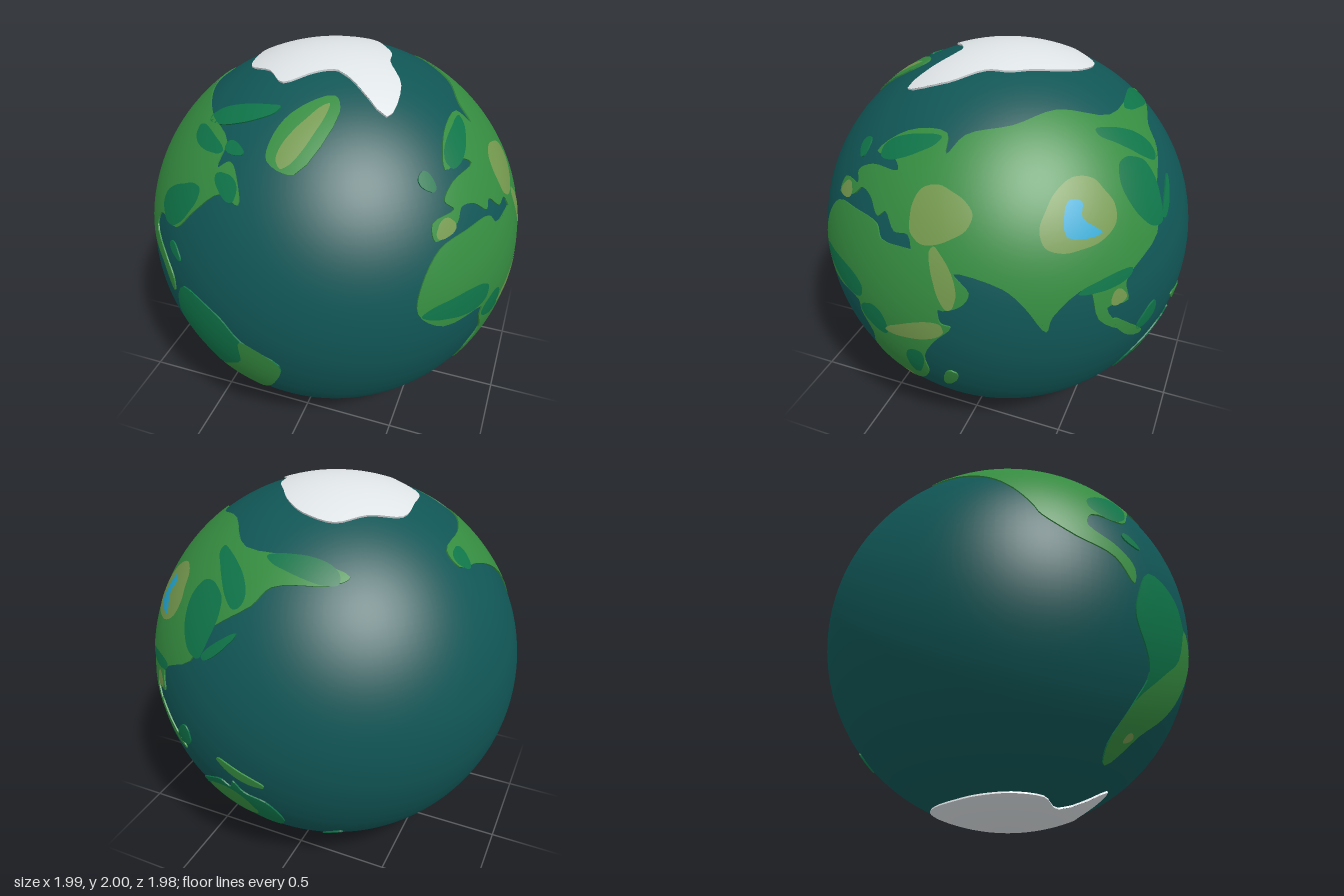
import * as THREE from 'three';

const mat = (name, color) => {
  const m = new THREE.MeshStandardMaterial({ color });
  m.name = name;
  return m;
};
const UNIT = 187; // outline units per globe radius
const OCEAN = 0.99, FLOOR = 0.985, LAND = 0.9968, LOW = 0.998, HIGH = 0.9989, TOP = 1;

// Turns flat outline pairs, drawn as seen from a compass direction, into points on the unit sphere
const facing = (azDeg, elDeg) => (list) => {
  const a = THREE.MathUtils.degToRad(azDeg), e = THREE.MathUtils.degToRad(elDeg);
  const right = new THREE.Vector3(Math.cos(a), 0, -Math.sin(a));
  const up = new THREE.Vector3(-Math.sin(e) * Math.sin(a), Math.cos(e), -Math.sin(e) * Math.cos(a));
  const out = new THREE.Vector3().crossVectors(right, up);
  const pts = [];
  for (let i = 0; i < list.length; i += 2) {
    const u = list[i] / UNIT, v = list[i + 1] / UNIT;
    const w = Math.sqrt(Math.max(0, 1 - u * u - v * v));
    pts.push(new THREE.Vector3().addScaledVector(right, u).addScaledVector(up, v).addScaledVector(out, w).normalize());
  }
  return pts;
};
const front = facing(0, 0), east = facing(90, 0), north = facing(0, 90), south = facing(0, -90);
const pacific = facing(215, 25), indies = facing(145, -30);

// Uneven oval: centre, half length, half width and tilt in degrees
const oval = (face, u, v, a, b, tilt) => {
  const t = THREE.MathUtils.degToRad(tilt), list = [];
  for (let i = 0; i < 12; i++) {
    const s = (i / 12) * Math.PI * 2, k = 1 + 0.1 * Math.sin(3 * s + u);
    const x = a * k * Math.cos(s), y = b * k * Math.sin(s);
    list.push(u + x * Math.cos(t) - y * Math.sin(t), v + x * Math.sin(t) + y * Math.cos(t));
  }
  return face(list);
};
// Outline around a pole from radii at even angles
const around = (face, radii) => face(radii.flatMap((r, i) => {
  const s = (i / radii.length) * Math.PI * 2;
  return [r * Math.cos(s), r * Math.sin(s)];
}));

// Curved patch over the sphere inside an outline, with side walls down to the floor radius if given
function patch(points, radius, floor) {
  const c = points.reduce((s, p) => s.add(p), new THREE.Vector3()).normalize();
  const e1 = new THREE.Vector3(1, 0, 0);
  if (Math.abs(c.x) > 0.9) e1.set(0, 1, 0);
  e1.addScaledVector(c, -c.dot(e1)).normalize();
  const e2 = new THREE.Vector3().crossVectors(c, e1);
  const flatten = (p) => {
    const t = Math.acos(THREE.MathUtils.clamp(p.dot(c), -1, 1));
    const k = t < 1e-6 ? 1 : t / Math.sin(t);
    return new THREE.Vector3(p.dot(e1) * k, p.dot(e2) * k, 0);
  };
  const wrap = (q) => {
    const t = Math.hypot(q.x, q.y), k = t < 1e-6 ? 1 : Math.sin(t) / t;
    return new THREE.Vector3().addScaledVector(c, Math.cos(t)).addScaledVector(e1, q.x * k).addScaledVector(e2, q.y * k);
  };
  const curve = new THREE.CatmullRomCurve3(points.map(flatten), true, 'centripetal');
  const ring = curve.getPoints(points.length * 4).slice(0, -1).map((p) => new THREE.Vector2(p.x, p.y));
  if (THREE.ShapeUtils.isClockWise(ring)) ring.reverse();

  const pos = [], nor = [];
  const add = (p, r, n) => {
    pos.push(p.x * r, p.y * r, p.z * r);
    nor.push(n.x, n.y, n.z);
  };
  // Split triangles until they follow the curve of the sphere
  const stack = THREE.ShapeUtils.triangulateShape(ring, []).map((f) => f.map((i) => ring[i]));
  while (stack.length) {
    const t = stack.pop();
    const len = t.map((p, i) => p.distanceTo(t[(i + 1) % 3]));
    const k = len.indexOf(Math.max(...len));
    if (len[k] < 0.055) {
      t.forEach((q) => { const p = wrap(q); add(p, radius, p); });
      continue;
    }
    const p = t[k], q = t[(k + 1) % 3], o = t[(k + 2) % 3];
    const m = new THREE.Vector2().addVectors(p, q).multiplyScalar(0.5);
    stack.push([p, m, o], [m, q, o]);
  }
  // Coast walls
  if (floor) ring.forEach((q, i) => {
    const a = wrap(q), b = wrap(ring[(i + 1) % ring.length]);
    const n = new THREE.Vector3().crossVectors(b.clone().sub(a), a).normalize();
    [[a, floor], [b, floor], [b, radius], [a, floor], [b, radius], [a, radius]].forEach(([p, r]) => add(p, r, n));
  });
  const g = new THREE.BufferGeometry();
  g.setAttribute('position', new THREE.Float32BufferAttribute(pos, 3));
  g.setAttribute('normal', new THREE.Float32BufferAttribute(nor, 3));
  return g;
}

export function createModel() {
  const sea = mat('deep teal', 0x115656), forest = mat('forest green', 0x0f7549), grass = mat('grass green', 0x358c40);
  const olive = mat('olive', 0x74994e), blue = mat('lake blue', 0x25a7d1), ice = mat('ice white', 0xdfe4e7);
  const globe = new THREE.Group();
  globe.name = 'globe';
  globe.position.y = 1;

  const ocean = new THREE.Mesh(new THREE.SphereGeometry(OCEAN, 128, 80), sea);
  ocean.name = 'ocean';
  globe.add(ocean);

  const put = (name, material, radius, points, floor) => {
    const m = new THREE.Mesh(patch(points, radius, floor), material);
    m.name = name;
    globe.add(m);
  };
  const land = (name, material, points) => put(name, material, LAND, points, FLOOR);
  const woods = (name, ...o) => put(name, forest, LOW, oval(...o));
  const hills = (name, ...o) => put(name, olive, HIGH, oval(...o));
  const island = (name, material, ...o) => land(name, material, oval(...o));

  // North-western continent
  const westShore = north([-131, 32, -140, 2, -150, -38, -158, -81]);
  const gulfAndBay = front([-158, 46, -145, 26, -120, 13, -105, -7, -103, 9, -114, 24, -134, 42, -126, 58, -98, 61,
    -78, 82, -50, 105, -31, 102, -36, 116, -48, 127, -60, 120, -58, 137, -88, 144]);
  const arcticShore = north([-104, -51, -116, -11, -118, 30]);
  land('northWestContinent', grass, [...westShore, ...gulfAndBay, ...arcticShore]);
  woods('eastCoastWoods', front, -99, 80, 30, 13, 40);
  woods('bayWoods', front, -46, 111, 13, 8, -20);
  woods('arcticWoods', front, -80, 131, 20, 6, 0);
  woods('farWestWoods', north, -129, 20, 11, 8, 90);
  island('arcticIsland', forest, front, -54, 153, 36, 5, 17);
  island('bayIsland', forest, front, -48, 135, 10, 4, 0);
  island('gulfIsland', forest, front, -99, 40, 9, 5, -35);
  land('iceSeaIsland', grass, front([-14, 134, -16, 146, -6, 162, 24, 172, 33, 164, 12, 129]));
  hills('iceSeaIslandHills', front, 8, 149, 22, 8, 53);

  // South-western continent, with grassland sharing its eastern coast
  const southWest = front([-88, 10, -46, 0, -25, -21, 11, -41, 0, -76, -16, -100, -38, -122, -46, -147, -64, -134,
    -70, -101, -70, -76, -100, -38, -102, -23]);
  land('southWestContinent', forest, southWest);
  put('southWestGrassland', grass, LOW, [...southWest.slice(2, 10), ...front([-50, -73, -30, -52])]);
  hills('southWestHills', front, -49, -126, 5, 4, 0);

  // Great eastern continent
  const southShore = east([-114, 76, -91, 84, -81, 93, -68, 91, -56, 80, -48, 86, -36, 74, -22, 75, -14, 54, 9, 18, 30, 25,
    36, 37, 22, 52, 62, 43, 80, 26, 97, 0, 101, 15, 124, 36, 134, 2, 150, -18, 139, 12, 153, 12, 150, 32, 165, 59]);
  const pacificShore = pacific([-133, 35, -94, 55, -76, 69, -31, 66, -13, 72]);
  const polarShore = north([-24, 112, 36, 108, 68, 70, 98, 43, 116, 8]);
  const westernShore = east([-3, 134, -8, 146, -46, 141, -73, 121, -50, 122, -44, 116, -74, 112, -91, 102, -88, 94, -109, 90]);
  land('eastContinent', grass, [...southShore, ...pacificShore, ...polarShore, ...westernShore]);
  woods('farEastWoods', pacific, -46, 82, 30, 10, -25);
  woods('riverWoods', pacific, -106, 80, 28, 9, 95);
  woods('northWoods', east, -42, 132, 30, 7, 20);
  woods('orientWoods', east, 147, 95, 34, 7, -57);
  woods('monsoonWoods', east, 137, 36, 18, 6, 10);
  hills('desert', east, 2, 93, 27, 21, 10);
  hills('gulfDesert', east, 13, 45, 27, 9, 110);
  hills('westPeninsulaHills', east, -102, 83, 10, 6, 30);
  hills('southPeninsulaHills', east, 146, 19, 8, 5, 100);
  hills('lakePlateau', east, 107, 92, 28, 23, -45);
  put('lake', blue, TOP, east([98, 105, 108, 103, 111, 92, 127, 78, 103, 80]));

  // Southern continent
  land('southContinent', grass, east([-114, 69, -86, 75, -56, 74, -49, 64, -10, 62, 8, 22, 12, 4, 21, 2, 4, -19, -9, -44,
    -10, -69, -26, -94, -46, -106, -58, -100, -74, -68, -69, -44, -79, -21, -80, -9, -121, -6, -140, 18, -134, 44]));
  woods('westBulgeWoods', east, -102, 9, 33, 13, -8);
  woods('equatorWoods', east, -60, -18, 17, 14, -30);
  woods('eastShoreWoods', east, -21, -56, 21, 9, 75);
  hills('hornHills', east, -14, -12, 33, 9, 22);
  hills('capeHills', east, -41, -95, 7, 4, -45);

  // Islands
  island('northWestIsle', forest, east, -92, 118, 8, 5, 60);
  island('southIsland', grass, east, 11, -71, 16, 6, 65);
  island('jungleIsland', forest, indies, 31, 73, 14, 9, 40);
  island('longIsland', grass, indies, 6, 72, 27, 5, -40);
  island('reefIsland', grass, indies, 94, 48, 24, 5, -38);
  island('eastArcIsland', forest, pacific, -124, 23, 18, 4, 33);
  island('farSouthIsle', forest, indies, 118, -70, 11, 3, 20);

  // South-eastern continent
  land('southEastContinent', forest, indies([26, 12, 56, 32, 69, 35, 77, 28, 84, 38, 90, 24, 106, 12, 109, -8, 103, -28,
    88, -40, 71, -23, 28, -20]));
  put('southEastPlain', grass, LOW, oval(indies, 66, 5, 26, 20, -35));

  // Polar ice
  put('northIceCap', ice, TOP, around(north, [52, 52, 52, 60, 72, 81, 75, 84, 77, 77, 64, 68, 46, 43, 98, 76]), FLOOR);
  put('southIceCap', ice, TOP, around(south, [43, 50, 67, 69, 98, 62, 75, 78, 76, 73, 73, 74, 70, 64, 59, 41]), FLOOR);

  const model = new THREE.Group();
  model.add(globe);
  return model;
}
